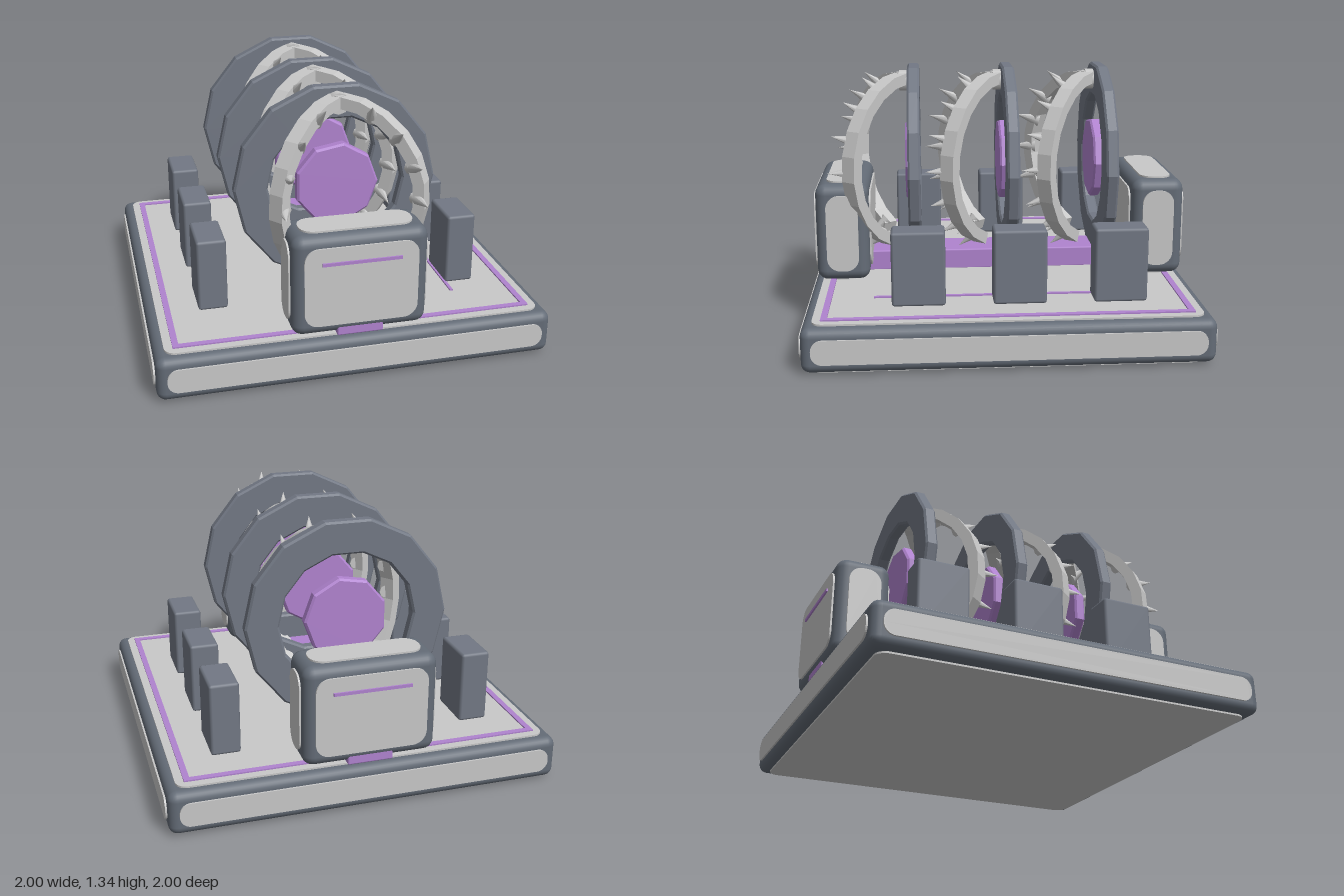
import * as THREE from 'three';
import { RoundedBoxGeometry } from 'three/addons/geometries/RoundedBoxGeometry.js';

const mat = (name, color) => {
  const m = new THREE.MeshStandardMaterial({ color });
  m.name = name;
  return m;
};

export function createModel() {
  const frame = mat('dark slate', 0x646c77);
  const slate = mat('slate', 0x727884);
  const pale = mat('pale grey', 0xc8c8c8);
  const purple = mat('purple', 0xb083cf);
  const root = new THREE.Group();

  const add = (parent, name, geo, material, x = 0, y = 0, z = 0) => {
    const m = new THREE.Mesh(geo, material);
    m.name = name;
    m.position.set(x, y, z);
    parent.add(m);
    return m;
  };

  // Thin plate with rounded corners, lying in xy and facing +z
  const plateGeo = (w, h, r, depth) => {
    const s = new THREE.Shape();
    const a = w / 2, b = h / 2;
    s.absarc(a - r, b - r, r, 0, Math.PI / 2);
    s.absarc(-a + r, b - r, r, Math.PI / 2, Math.PI);
    s.absarc(-a + r, -b + r, r, Math.PI, Math.PI * 1.5);
    s.absarc(a - r, -b + r, r, Math.PI * 1.5, Math.PI * 2);
    s.closePath();
    return new THREE.ExtrudeGeometry(s, { depth, bevelEnabled: false, curveSegments: 5 });
  };

  // Rounded box with an inset-looking plate on all six faces
  const panelledBox = (name, w, h, d, radius, inset, corner, y, z) => {
    const g = new THREE.Group();
    g.name = name;
    g.position.set(0, y, z);
    root.add(g);
    add(g, name + 'Body', new RoundedBoxGeometry(w, h, d, 3, radius), frame);
    const t = 0.009;
    for (const s of [1, -1]) {
      add(g, 'endPanel', plateGeo(w - inset, h - inset, corner, t), pale, 0, 0, s * d / 2)
        .rotation.y = s > 0 ? 0 : Math.PI;
      add(g, 'sidePanel', plateGeo(d - inset, h - inset, corner, t), pale, s * w / 2, 0, 0)
        .rotation.y = s * Math.PI / 2;
      add(g, s > 0 ? 'topPanel' : 'bottomPanel', plateGeo(w - inset, d - inset, corner, t), pale, 0, s * h / 2, 0)
        .rotation.x = -s * Math.PI / 2;
    }
    return g;
  };

  // Base slab
  panelledBox('base', 1.982, 0.222, 1.982, 0.045, 0.1, 0.055, 0.12, 0);

  // Purple inlay around the deck, side line and centre beam
  for (const s of [1, -1]) {
    add(root, 'deckInlay', new THREE.BoxGeometry(1.8, 0.008, 0.03), purple, 0, 0.243, s * 0.885);
    add(root, 'deckInlay', new THREE.BoxGeometry(0.03, 0.008, 1.74), purple, s * 0.885, 0.243, 0);
  }
  add(root, 'sideLine', new THREE.BoxGeometry(0.016, 0.009, 1.11), purple, 0.58, 0.243, 0.105);
  add(root, 'centreBeam', new RoundedBoxGeometry(0.23, 0.11, 1.92, 1, 0.008), purple, 0, 0.29, 0);

  // End housings with a slot on the outer face
  for (const s of [1, -1]) {
    const g = panelledBox('endHousing', 0.67, 0.515, 0.275, 0.055, 0.11, 0.07, 0.507, s * 0.828);
    add(g, 'slot', new THREE.BoxGeometry(0.39, 0.016, 0.009), purple, 0, 0.122, s * 0.1505);
  }

  // Flat faceted ring
  const circle = (path, r, n) => {
    const pts = [];
    for (let i = 0; i < n; i++) {
      const a = i / n * Math.PI * 2;
      pts.push(new THREE.Vector2(r * Math.cos(a), r * Math.sin(a)));
    }
    return path.setFromPoints(pts);
  };
  const bevel = { bevelEnabled: true, bevelSize: 0.01, bevelThickness: 0.01, bevelSegments: 1 };
  const ringShape = circle(new THREE.Shape(), 0.512, 14);
  ringShape.holes.push(circle(new THREE.Path(), 0.36, 14));
  const ringGeo = new THREE.ExtrudeGeometry(ringShape, { depth: 0.044, ...bevel });
  ringGeo.translate(0, 0, -0.022);
  const discGeo = new THREE.ExtrudeGeometry(circle(new THREE.Shape(), 0.206, 9), { depth: 0.04, ...bevel });
  discGeo.translate(0, 0, -0.002);

  // Curved jaw arm in its own plane
  const armPts = [];
  const N = 10, from = Math.PI / 2, to = -1.2;
  for (let i = 0; i <= 2 * N + 1; i++) {
    const outer = i <= N;
    const k = outer ? i : 2 * N + 1 - i;
    const a = from + (to - from) * k / N;
    const r = outer ? 0.475 : 0.415;
    armPts.push(new THREE.Vector2(r * Math.cos(a), r * Math.sin(a)));
  }
  const armGeo = new THREE.ExtrudeGeometry(new THREE.Shape(armPts), { depth: 0.08, bevelEnabled: false });
  armGeo.translate(0, 0, -0.04);
  const spikeGeo = new THREE.ConeGeometry(0.036, 0.14, 8);
  spikeGeo.translate(0, 0.07, 0);
  const hingeGeo = new THREE.CylinderGeometry(0.055, 0.055, 0.095, 10);
  hingeGeo.rotateX(Math.PI / 2);

  const up = new THREE.Vector3(0, 1, 0);
  for (const z of [-0.55, -0.05, 0.45]) {
    const unit = new THREE.Group();
    unit.name = 'jawRing';
    unit.position.set(0, 0.83, z);
    root.add(unit);
    add(unit, 'ring', ringGeo, slate);
    add(unit, 'disc', discGeo, purple);
    add(unit, 'hinge', hingeGeo, pale, 0, 0.43, 0.028);

    for (const s of [1, -1]) {
      const side = new THREE.Group();
      side.name = s > 0 ? 'leftJaw' : 'rightJaw';
      side.scale.x = s;
      side.position.z = 0.05;
      unit.add(side);
      const jaw = new THREE.Group();
      jaw.rotation.y = -0.65;
      side.add(jaw);
      add(jaw, 'arm', armGeo, pale);

      // Spikes lean outward and forward
      for (let i = -3; i <= 3; i++) {
        const a = i * 0.375;
        const c = Math.cos(a), n = Math.sin(a);
        const spike = add(jaw, 'spike', spikeGeo, pale, 0.415 * c, 0.415 * n, 0.005);
        spike.quaternion.setFromUnitVectors(up, new THREE.Vector3(0.7 * c, 0.7 * n, 0.71).normalize());
      }
    }
  }

  // Side posts
  for (const s of [1, -1]) {
    for (const z of [-0.565, -0.065, 0.435]) {
      add(root, 'post', new RoundedBoxGeometry(0.15, 0.375, 0.265, 1, 0.014), slate, s * 0.655, 0.428, z);
    }
  }
  return root;
}
